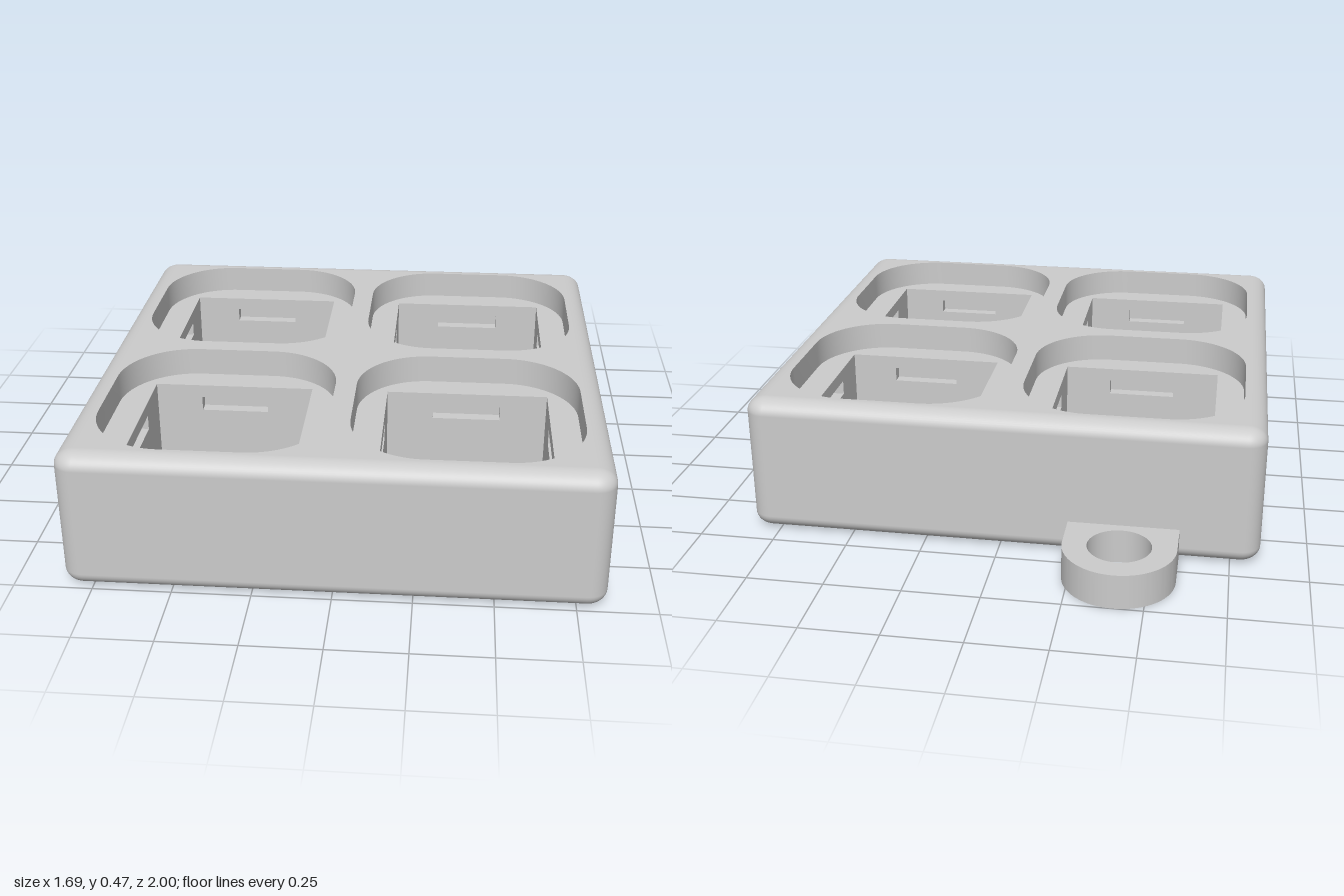
import * as THREE from 'three';
import { RoundedBoxGeometry } from 'three/addons/geometries/RoundedBoxGeometry.js';
import { toCreasedNormals } from 'three/addons/utils/BufferGeometryUtils.js';

const WIDTH = 1.69, DEPTH = 1.685, HEIGHT = 0.465;
const EDGE = 0.065, EDGE_Y = 0.05;       // edge rounding in plan and in height
const PITCH = 0.4025;                    // pocket centres from the body centre
const POCKET = 0.735, POCKET_R = 0.24, POCKET_DEPTH = 0.095;
const HOLE = 0.545, HOLE_DEPTH = 0.3;

const material = new THREE.MeshStandardMaterial({ color: 0xcccccc });

function part(name, geometry) {
  const mesh = new THREE.Mesh(geometry, material);
  mesh.name = name;
  return mesh;
}

// Counter-clockwise rectangle with optional round corners
function rect(PathType, w, h, r = 0, cx = 0, cy = 0) {
  const p = new PathType();
  const x = w / 2 - r, y = h / 2 - r;
  if (r === 0) {
    return p.moveTo(cx - x, cy - y).lineTo(cx + x, cy - y)
      .lineTo(cx + x, cy + y).lineTo(cx - x, cy + y).closePath();
  }
  [[x, -y], [x, y], [-x, y], [-x, -y]].forEach(([px, py], i) => {
    const a = (i - 1) * Math.PI / 2;
    p.absarc(cx + px, cy + py, r, a, a + Math.PI / 2, false);
  });
  return p.closePath();
}

// Inward-facing wall sunk from z = 0 to z = -depth along an outline
function sunkWall(outline, depth) {
  const pts = outline.getPoints(12);
  const ring = pts.filter((p, i) => p.distanceTo(pts[(i + 1) % pts.length]) > 1e-5);
  const n = ring.length, pos = [], index = [];
  for (const z of [0, -depth]) ring.forEach(p => pos.push(p.x, p.y, z));
  for (let i = 0; i < n; i++) {
    const j = (i + 1) % n;
    index.push(i, j, n + i, j, n + j, n + i);
  }
  const g = new THREE.BufferGeometry();
  g.setAttribute('position', new THREE.Float32BufferAttribute(pos, 3));
  g.setIndex(index);
  return toCreasedNormals(g, 0.6);
}

// Sunk wall plus its floor, which may have a hole
function recess(name, outline, depth, hole) {
  const group = new THREE.Group();
  group.name = name;
  if (hole) outline.holes.push(hole);
  const floor = part(name + 'Floor', new THREE.ShapeGeometry(outline, 12));
  floor.position.z = -depth;
  group.add(part(name + 'Wall', sunkWall(outline, depth)), floor);
  return group;
}

// Rounded outer shell with the flat top taken away
function shellGeometry() {
  const k = EDGE_Y / EDGE;
  const g = new RoundedBoxGeometry(WIDTH, HEIGHT / k, DEPTH, 6, EDGE);
  g.scale(1, k, 1).translate(0, HEIGHT / 2, 0);
  const p = g.attributes.position, keep = [];
  for (let i = 0; i < p.count; i += 3) {
    const low = Math.min(p.getY(i), p.getY(i + 1), p.getY(i + 2));
    if (low < HEIGHT - 1e-4) keep.push(i, i + 1, i + 2);
  }
  g.setIndex(keep);
  g.clearGroups();
  return g;
}

// One stepped pocket: round-cornered top, square hole, a clip slot in each wall
function createPocket() {
  const pocket = recess('pocket', rect(THREE.Shape, POCKET, POCKET, POCKET_R),
    POCKET_DEPTH, rect(THREE.Path, HOLE, HOLE));

  const floor = part('holeFloor', new THREE.PlaneGeometry(HOLE, HOLE));
  floor.position.z = -POCKET_DEPTH - HOLE_DEPTH;
  pocket.add(floor);

  const slotW = 0.23, slotH = 0.05, slotY = HOLE_DEPTH / 2 - 0.07;
  for (let i = 0; i < 4; i++) {
    const side = new THREE.Group();
    side.name = 'holeSide';
    const wall = rect(THREE.Shape, HOLE, HOLE_DEPTH);
    wall.holes.push(rect(THREE.Path, slotW, slotH, 0, 0, slotY));
    const slot = recess('clipSlot', rect(THREE.Shape, slotW, slotH, 0, 0, slotY), 0.04);
    const panel = new THREE.Group();
    panel.add(part('holeWall', new THREE.ShapeGeometry(wall)), slot);
    panel.rotation.x = Math.PI / 2;
    panel.position.set(0, HOLE / 2, -POCKET_DEPTH - HOLE_DEPTH / 2);
    side.add(panel);
    side.rotation.z = i * Math.PI / 2;
    pocket.add(side);
  }
  return pocket;
}

export function createModel() {
  const model = new THREE.Group();
  model.name = 'fourPocketKeyHolder';

  const body = new THREE.Group();
  body.name = 'body';
  body.position.z = 1 - DEPTH / 2;
  body.add(part('shell', shellGeometry()));
  model.add(body);

  // Top face and pockets are laid out flat, then turned to face up
  const top = new THREE.Group();
  top.name = 'top';
  top.rotation.x = -Math.PI / 2;
  top.position.y = HEIGHT;
  const face = rect(THREE.Shape, WIDTH - 2 * EDGE, DEPTH - 2 * EDGE);
  for (const x of [-PITCH, PITCH]) {
    for (const y of [-PITCH, PITCH]) {
      face.holes.push(rect(THREE.Path, POCKET, POCKET, POCKET_R, x, y));
      const pocket = createPocket();
      pocket.position.set(x, y, 0);
      top.add(pocket);
    }
  }
  top.add(part('topFace', new THREE.ShapeGeometry(face, 12)));
  body.add(top);

  // Keyring loop at the back
  const loop = new THREE.Shape();
  loop.moveTo(-0.18, -0.2).lineTo(0.18, -0.2).lineTo(0.18, 0);
  loop.absarc(0, 0, 0.18, 0, Math.PI, false).closePath();
  loop.holes.push(new THREE.Path().absarc(0, 0, 0.102, 0, Math.PI * 2, true));
  const loopGeometry = new THREE.ExtrudeGeometry(loop,
    { depth: 0.115, bevelEnabled: false, curveSegments: 32 });
  const ring = part('keyringLoop', toCreasedNormals(loopGeometry, 0.6));
  ring.rotation.x = -Math.PI / 2;
  ring.position.set(-0.407, 0, -0.82);
  model.add(ring);

  return model;
}
